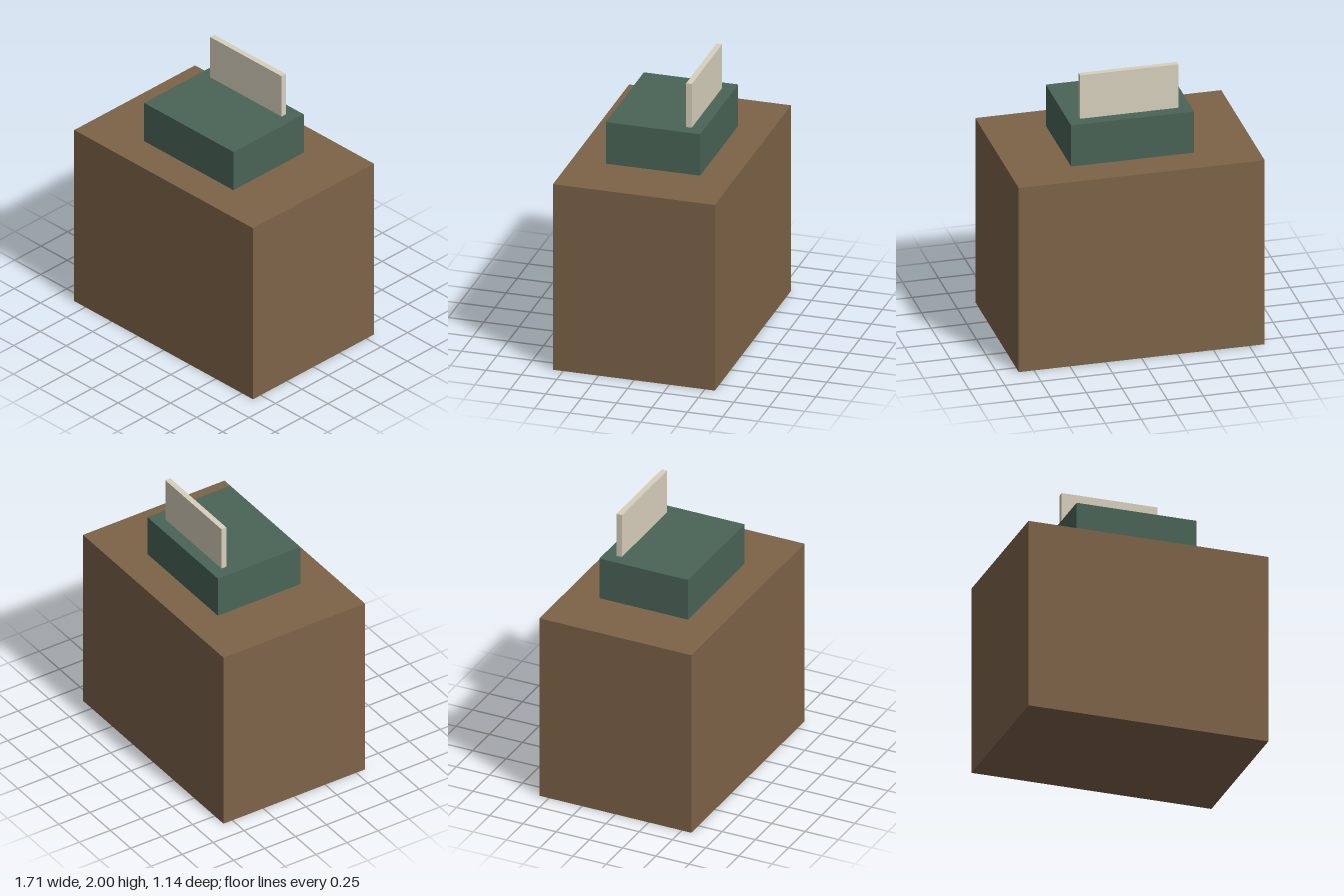
import * as THREE from 'three';

// Adds a named box standing on height y0, with its depth centred on z
function addBox(group, name, color, [w, h, d], y0, z = 0) {
  const mesh = new THREE.Mesh(
    new THREE.BoxGeometry(w, h, d),
    new THREE.MeshStandardMaterial({ color })
  );
  mesh.name = name;
  mesh.position.set(0, y0 + h / 2, z);
  group.add(mesh);
}

export function createModel() {
  const group = new THREE.Group();
  group.name = 'deskWithMachine';

  // Solid base block
  addBox(group, 'desk', 0x7d6348, [1.714, 1.371, 1.143], 0);
  // Machine body resting on the base
  addBox(group, 'machineBody', 0x496456, [0.857, 0.306, 0.666], 1.371);
  // Thin upright sheet near the back of the machine
  addBox(group, 'paperSheet', 0xd8d0be, [0.686, 0.323, 0.04], 1.677, -0.227);

  return group;
}
